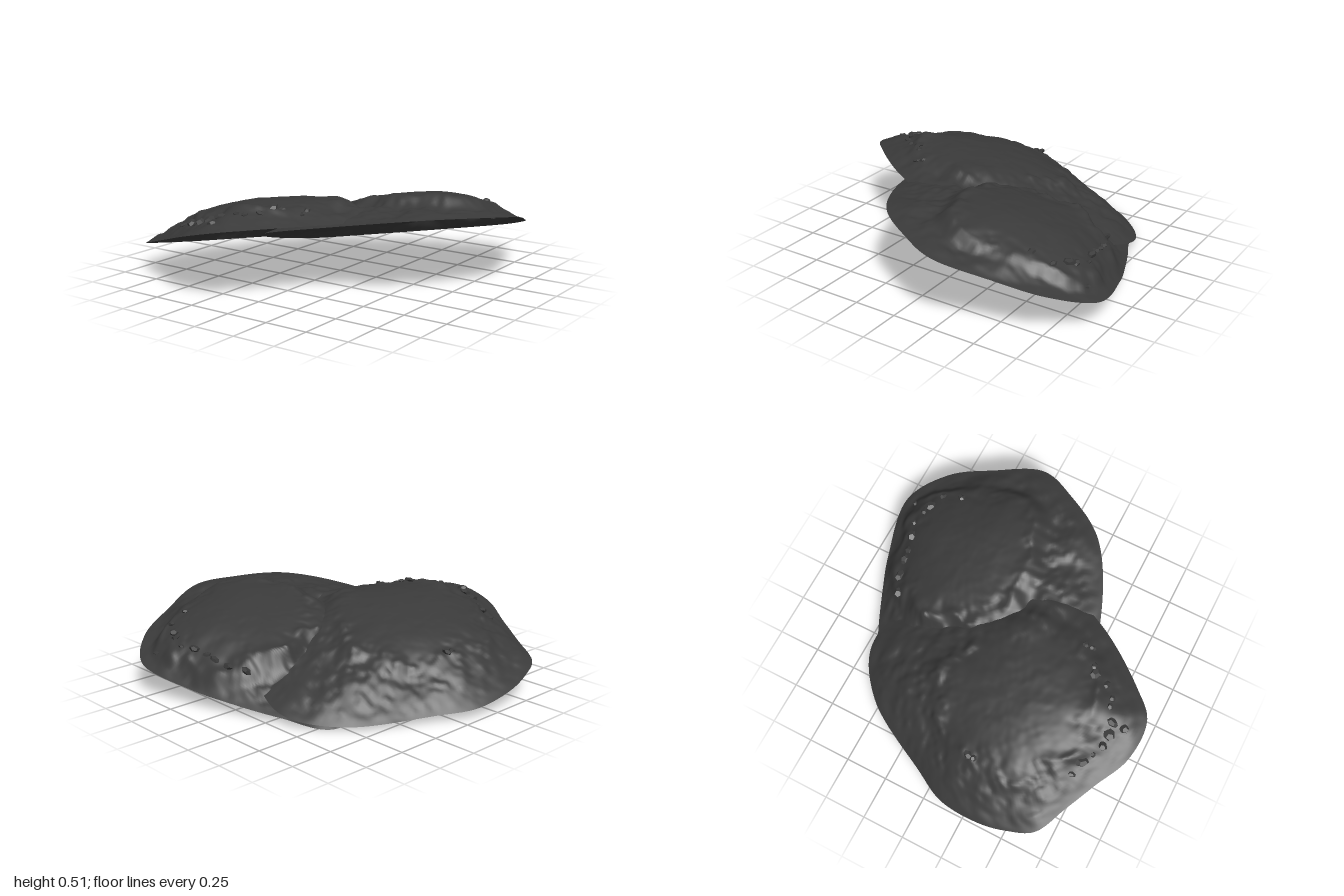
import * as THREE from 'three';

const material = new THREE.MeshStandardMaterial({ color: 0x3a3a3a, side: THREE.DoubleSide });
const stoneMaterial = new THREE.MeshStandardMaterial({ color: 0x3a3a3a, flatShading: true });
const SEGMENTS = 220, RINGS = 60;
const { lerp, smoothstep } = THREE.MathUtils;

// Each slab bulges along the normal of its tilted base
const normal = new THREE.Vector3(-0.22, 1, -0.2).normalize();

// Base: height at the origin and slopes along x and z; plateau: centre (x, z); drop: step outside the plateau
const frontSlab = {
  name: 'frontSlab', base: [0.274, 0.225, 0.175], center: [-0.33, 0.25], plateau: [-0.3, 0.28], drop: 0.018,
  rim: [[-0.35, -0.71], [-0.62, -0.54], [-0.88, -0.1], [-0.98, 0.1], [-1, 0.35], [-0.97, 0.52], [-0.91, 0.66],
    [-0.73, 0.755], [-0.55, 0.845], [-0.35, 0.945], [-0.12, 0.945], [0.02, 0.82], [0.28, 0.46], [0.42, 0.05],
    [0.3, -0.35], [-0.05, -0.63]],
  stones: [{ from: 0.42, to: 0.66, r: 0.79, count: 13 }, { from: 0.22, to: 0.26, r: 0.53, count: 2 },
    { from: 0.5, to: 0.53, r: 0.9, count: 1 }],
};
const backSlab = {
  name: 'backSlab', base: [0.25, 0.22, 0.2], center: [0.28, -0.35], plateau: [0.36, -0.4], drop: 0.06,
  rim: [[0.56, -0.96], [0.2, -0.9], [0, -0.83], [-0.3, -0.7], [-0.57, -0.54], [-0.45, 0.1], [-0.1, 0.53],
    [0.27, 0.47], [0.72, 0.24], [0.91, -0.03], [0.995, -0.25], [0.9, -0.54], [0.78, -0.79]],
  stones: [{ from: -0.08, to: 0.16, r: 0.7, count: 10 }, { from: -0.02, to: 0.02, r: 0.84, count: 1 }],
};

function seeded(seed) {
  return () => (seed = (seed * 16807) % 2147483647) / 2147483647;
}

// Smooth value noise over the ground plan, from -1 to 1
function noise(x, z) {
  const hash = (i, j) => {
    const s = Math.sin(i * 127.1 + j * 311.7) * 43758.5453;
    return (s - Math.floor(s)) * 2 - 1;
  };
  const i = Math.floor(x), j = Math.floor(z);
  const u = smoothstep(x - i, 0, 1), v = smoothstep(z - j, 0, 1);
  return lerp(lerp(hash(i, j), hash(i + 1, j), u), lerp(hash(i, j + 1), hash(i + 1, j + 1), u), v);
}

// Rim curve through a few (x, z) corners
function rimPoints(corners) {
  const points = corners.map(([x, z]) => new THREE.Vector3(x, 0, z));
  return new THREE.CatmullRomCurve3(points, true).getSpacedPoints(SEGMENTS).slice(0, SEGMENTS);
}

// Point on the slab: r = 0 at the centre, 1 at the rim
function surfacePoint({ base, center, plateau, drop }, edge, r) {
  const x = lerp(center[0], edge.x, r), z = lerp(center[1], edge.z, r);
  const distance = Math.hypot(x - plateau[0], z - plateau[1]) + 0.06 * noise(x * 7, z * 7);
  const rough = 0.2 + smoothstep(distance, 0.3, 0.45);
  const bumps = 0.014 * noise(x * 6 + 9, z * 6) + 0.01 * noise(x * 14, z * 14 + 5) + 0.006 * noise(x * 30, z * 30);
  // Broken crest around the plateau and the lower apron outside it
  const crest = 0.012 * Math.exp(-(((distance - 0.43) / 0.035) ** 2)) * (0.6 + noise(x * 9, z * 9));
  const apron = drop * smoothstep(distance, 0.42, 0.52) * (1 - r ** 4);
  const height = 0.2 * (1 - r ** 2.5) - apron + (1 - r ** 8) * (bumps * rough + crest);
  return new THREE.Vector3(x, base[0] + base[1] * x + base[2] * z, z).addScaledVector(normal, height);
}

// Open domed shell lofted from the centre out to the rim
function shellGeometry(slab, rim) {
  const points = [surfacePoint(slab, rim[0], 0)];
  const index = [];
  for (let i = 1; i <= RINGS; i++) {
    for (let j = 0; j < SEGMENTS; j++) {
      points.push(surfacePoint(slab, rim[j], i / RINGS));
      const a = 1 + (i - 1) * SEGMENTS + j;
      const b = 1 + (i - 1) * SEGMENTS + (j + 1) % SEGMENTS;
      if (i === 1) index.push(0, a, b);
      else index.push(a - SEGMENTS, a, b, a - SEGMENTS, b, b - SEGMENTS);
    }
  }
  const geometry = new THREE.BufferGeometry().setFromPoints(points);
  geometry.setIndex(index);
  geometry.computeVertexNormals();
  return geometry;
}

// Angular stones sunk along part of the slab, from and to as fractions of the rim
function addStones(group, slab, rim, { from, to, r, count }, random) {
  for (let k = 0; k < count; k++) {
    const fraction = from + (to - from) * (k + random() * 0.6) / count;
    const edge = rim[Math.floor((fraction + 1) * SEGMENTS) % SEGMENTS];
    const stone = new THREE.Mesh(new THREE.DodecahedronGeometry(0.018 + 0.022 * random()), stoneMaterial);
    stone.name = 'stone';
    stone.position.copy(surfacePoint(slab, edge, r + 0.08 * (random() - 0.5)));
    stone.scale.set(0.8 + 0.4 * random(), 0.5, 0.7 + 0.4 * random());
    stone.rotation.set(random() * 0.5, random() * 6, random() * 0.5);
    group.add(stone);
  }
}

function createSlab(slab, random) {
  const group = new THREE.Group();
  group.name = slab.name;
  const rim = rimPoints(slab.rim);
  const shell = new THREE.Mesh(shellGeometry(slab, rim), material);
  shell.name = slab.name + 'Shell';
  group.add(shell);
  slab.stones.forEach((row) => addStones(group, slab, rim, row, random));
  return group;
}

export function createModel() {
  const model = new THREE.Group();
  model.name = 'rockSlabs';
  const random = seeded(17);
  model.add(createSlab(frontSlab, random), createSlab(backSlab, random));

  // Stand the pair on the ground, centred
  const box = new THREE.Box3().setFromObject(model, true);
  const middle = box.getCenter(new THREE.Vector3());
  model.position.set(-middle.x, -box.min.y, -middle.z);
  return model;
}
